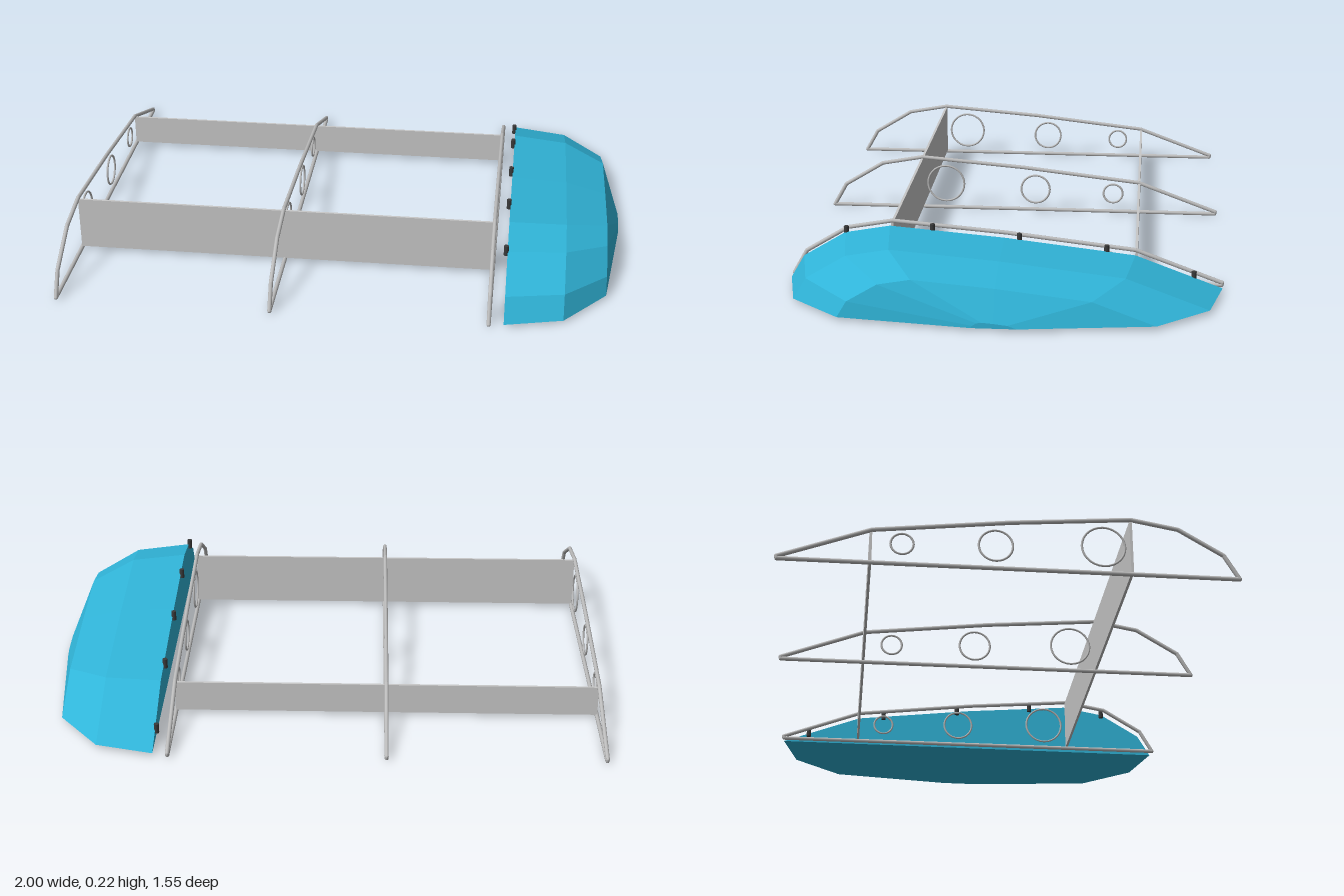
import * as THREE from 'three';

// Airfoil outline as [z, y], nose over the top to the tail
const PROFILE = [[0.765, 0.01], [0.716, 0.093], [0.565, 0.185], [0.405, 0.214], [0, 0.181], [-0.46, 0.129], [-0.767, 0.015]];

const paint = (name, color, extra = {}) => Object.assign(new THREE.MeshStandardMaterial({ color, ...extra }), { name });

// Height of the airfoil's upper skin at a given z
function skinHeight(z) {
  for (let i = 0; i < PROFILE.length - 1; i++) {
    const [z0, y0] = PROFILE[i], [z1, y1] = PROFILE[i + 1];
    if (z <= z0 && z >= z1) return y0 + (y1 - y0) * (z0 - z) / (z0 - z1);
  }
  return 0.01;
}

function add(parent, name, geometry, material, x = 0, y = 0, z = 0) {
  const mesh = new THREE.Mesh(geometry, material);
  mesh.name = name;
  mesh.position.set(x, y, z);
  parent.add(mesh);
  return mesh;
}

// Straight round rod between two points
function rod(parent, name, a, b, radius, material) {
  const dir = b.clone().sub(a);
  const mesh = add(parent, name, new THREE.CylinderGeometry(radius, radius, dir.length(), 10), material);
  mesh.position.copy(a).add(b).multiplyScalar(0.5);
  mesh.quaternion.setFromUnitVectors(new THREE.Vector3(0, 1, 0), dir.normalize());
}

// Open rib: rod outline with three lightening rings
function makeRib(x, material) {
  const rib = new THREE.Group();
  rib.name = 'rib';
  const r = 0.0075;
  const pts = PROFILE.map(([z, y], i) => new THREE.Vector3(0, i === 0 ? r : y + 0.001, z));
  pts.push(new THREE.Vector3(0, r, -0.765));
  pts.forEach((p, i) => {
    rod(rib, 'ribRod', p, pts[(i + 1) % pts.length], r, material);
    add(rib, 'ribJoint', new THREE.SphereGeometry(r, 10, 8), material, p.x, p.y, p.z);
  });
  for (const [z, y, radius] of [[0.31, 0.107, 0.073], [-0.05, 0.092, 0.057], [-0.36, 0.082, 0.038]]) {
    add(rib, 'lighteningRing', new THREE.TorusGeometry(radius, 0.004, 6, 28), material, 0, y, z).rotation.y = Math.PI / 2;
  }
  rib.position.x = x;
  return rib;
}

// Faceted tip: the airfoil shrinking through four stations
function makeTipGeometry() {
  const stations = [[0.59, 1], [0.795, 0.935], [0.945, 0.7], [1, 0.1]];
  const rings = stations.map(([x, s]) => PROFILE.map(([z, y]) => [x, 0.01 + (y - 0.01) * s, z * s]));
  const n = PROFILE.length, pos = [];
  const tri = (a, b, c) => pos.push(...a, ...b, ...c);
  for (let i = 0; i < rings.length - 1; i++) {
    for (let j = 0; j < n; j++) {
      const k = (j + 1) % n;
      tri(rings[i][j], rings[i + 1][j], rings[i + 1][k]);
      tri(rings[i][j], rings[i + 1][k], rings[i][k]);
    }
  }
  // End caps
  const inner = rings[0], outer = rings[rings.length - 1];
  for (let j = 1; j < n - 1; j++) {
    tri(inner[0], inner[j], inner[j + 1]);
    tri(outer[0], outer[j + 1], outer[j]);
  }
  const geometry = new THREE.BufferGeometry();
  geometry.setAttribute('position', new THREE.Float32BufferAttribute(pos, 3));
  geometry.computeVertexNormals();
  return geometry;
}

export function createModel() {
  const model = new THREE.Group();
  model.name = 'wingFrame';
  const ribGrey = paint('ribGrey', 0xbcbcbc);
  const sparGrey = paint('sparGrey', 0xc8c8c8);
  const tipBlue = paint('tipBlue', 0x30b4d8, { flatShading: true });
  const pegDark = paint('pegDark', 0x3a3a3a);

  // Ribs
  for (const x of [-0.9925, -0.227, 0.5385]) model.add(makeRib(x, ribGrey));

  // Spars running across the ribs
  for (const [name, z, top] of [['frontSpar', 0.405, 0.21], ['rearSpar', -0.463, 0.126]]) {
    add(model, name, new THREE.BoxGeometry(1.531, top - 0.012, 0.009), sparGrey, -0.227, (top + 0.012) / 2, z);
  }

  // Wing tip
  add(model, 'wingTip', makeTipGeometry(), tipBlue);

  // Locating pegs along the tip's inner edge
  for (let i = 0; i < 5; i++) {
    const z = 0.562 - i * 0.307;
    add(model, 'peg', new THREE.CylinderGeometry(0.009, 0.009, 0.036, 10), pegDark, 0.585, skinHeight(z) + 0.003, z);
  }
  return model;
}
